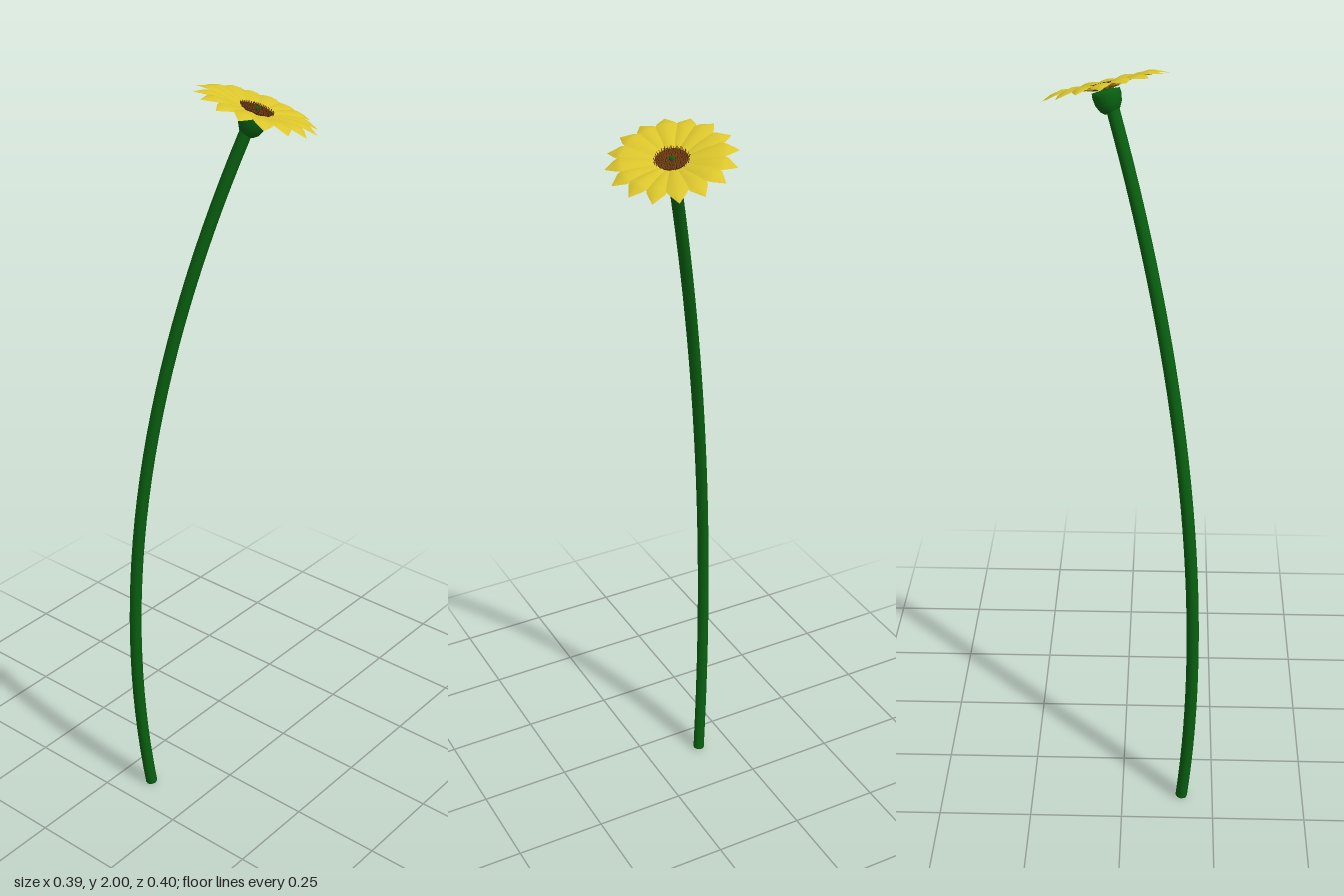
import * as THREE from 'three';
import { mergeGeometries } from 'three/addons/utils/BufferGeometryUtils.js';

const mat = (name, color, side = THREE.FrontSide) => {
  const m = new THREE.MeshStandardMaterial({ color, side });
  m.name = name;
  return m;
};

const mesh = (name, geometry, material) => {
  const m = new THREE.Mesh(geometry, material);
  m.name = name;
  return m;
};

// One petal along +x: arched cross-sections [radius, half width, height], pointed drooping tip
function petalGeometry() {
  const rows = [
    [0.02, 0.007, -0.010], [0.05, 0.013, -0.002], [0.085, 0.02, 0.005],
    [0.115, 0.0255, 0.008], [0.128, 0.021, 0.005], [0.154, 0.0005, -0.006],
  ];
  const across = 4, pos = [], index = [];
  rows.forEach(([r, w, h], i) => {
    for (let j = 0; j <= across; j++) {
      const t = (j / across) * 2 - 1;
      pos.push(r, h - t * t * w * 0.2, t * w);
      if (i && j) {
        const d = i * (across + 1) + j, c = d - 1, b = d - across - 1, a = b - 1;
        index.push(a, b, c, b, d, c);
      }
    }
  });
  const g = new THREE.BufferGeometry();
  g.setAttribute('position', new THREE.Float32BufferAttribute(pos, 3));
  g.setIndex(index);
  g.computeVertexNormals();
  return g;
}

export function createModel() {
  const model = new THREE.Group();
  model.name = 'flower';
  const green = mat('stem green', 0x086010);
  const yellow = mat('petal yellow', 0xdbc52c, THREE.DoubleSide);
  const brown = mat('disc brown', 0x6c3a10);
  const dark = mat('stamen dark brown', 0x56290b);

  // Evenly bent stem, leaning along the x = -z diagonal
  const base = new THREE.Vector3(-0.156, 0, 0.164);
  const curve = new THREE.QuadraticBezierCurve3(
    base, new THREE.Vector3(-0.25, 0.975, 0.257), new THREE.Vector3(0.04, 1.95, -0.042));
  model.add(mesh('stem', new THREE.TubeGeometry(curve, 32, 0.016, 8), green));
  const stemEnd = mesh('stemEnd', new THREE.CircleGeometry(0.016, 8), green);
  stemEnd.rotation.x = Math.PI / 2;
  stemEnd.position.set(base.x, 0.001, base.z);
  model.add(stemEnd);

  // Flower head, tilted to follow the stem
  const head = new THREE.Group();
  head.name = 'flowerHead';
  head.position.set(0.042, 1.954, -0.047);
  head.quaternion.setFromUnitVectors(
    new THREE.Vector3(0, 1, 0), new THREE.Vector3(0.24, 1, -0.24).normalize());
  model.add(head);

  // Green cup beneath the petals
  const cup = [[0.014, -0.068], [0.024, -0.06], [0.032, -0.044], [0.035, -0.026], [0.034, -0.014], [0.012, -0.012]]
    .map(([r, y]) => new THREE.Vector2(r, y));
  head.add(mesh('cup', new THREE.LatheGeometry(cup, 16), green));

  // Ring of sixteen petals, forming a shallow bowl
  const petal = petalGeometry(), count = 16;
  for (let i = 0; i < count; i++) {
    const p = mesh('petal', petal, yellow);
    p.rotation.y = (i / count) * Math.PI * 2;
    p.position.y = i % 2 ? 0.0015 : 0;
    head.add(p);
  }

  // Sunken central disc with a green heart
  const disc = mesh('disc', new THREE.CylinderGeometry(0.038, 0.034, 0.008, 24), brown);
  disc.position.y = -0.005;
  head.add(disc);
  const heart = mesh('heart', new THREE.SphereGeometry(0.007, 8, 6), green);
  heart.position.y = -0.001;
  head.add(heart);

  // Stamens spread in a spiral, alternating two browns
  const stamens = [[], []];
  for (let i = 0; i < 160; i++) {
    const r = 0.042 * Math.sqrt((i + 8) / 168), a = i * 2.39996;
    const g = new THREE.CylinderGeometry(0.0009, 0.0009, 0.007, 4);
    g.rotateZ(-r * 5);
    g.translate(r, 0.0005, 0);
    g.rotateY(a);
    stamens[i % 2].push(g);
  }
  head.add(mesh('stamensLight', mergeGeometries(stamens[0]), brown));
  head.add(mesh('stamensDark', mergeGeometries(stamens[1]), dark));
  return model;
}
